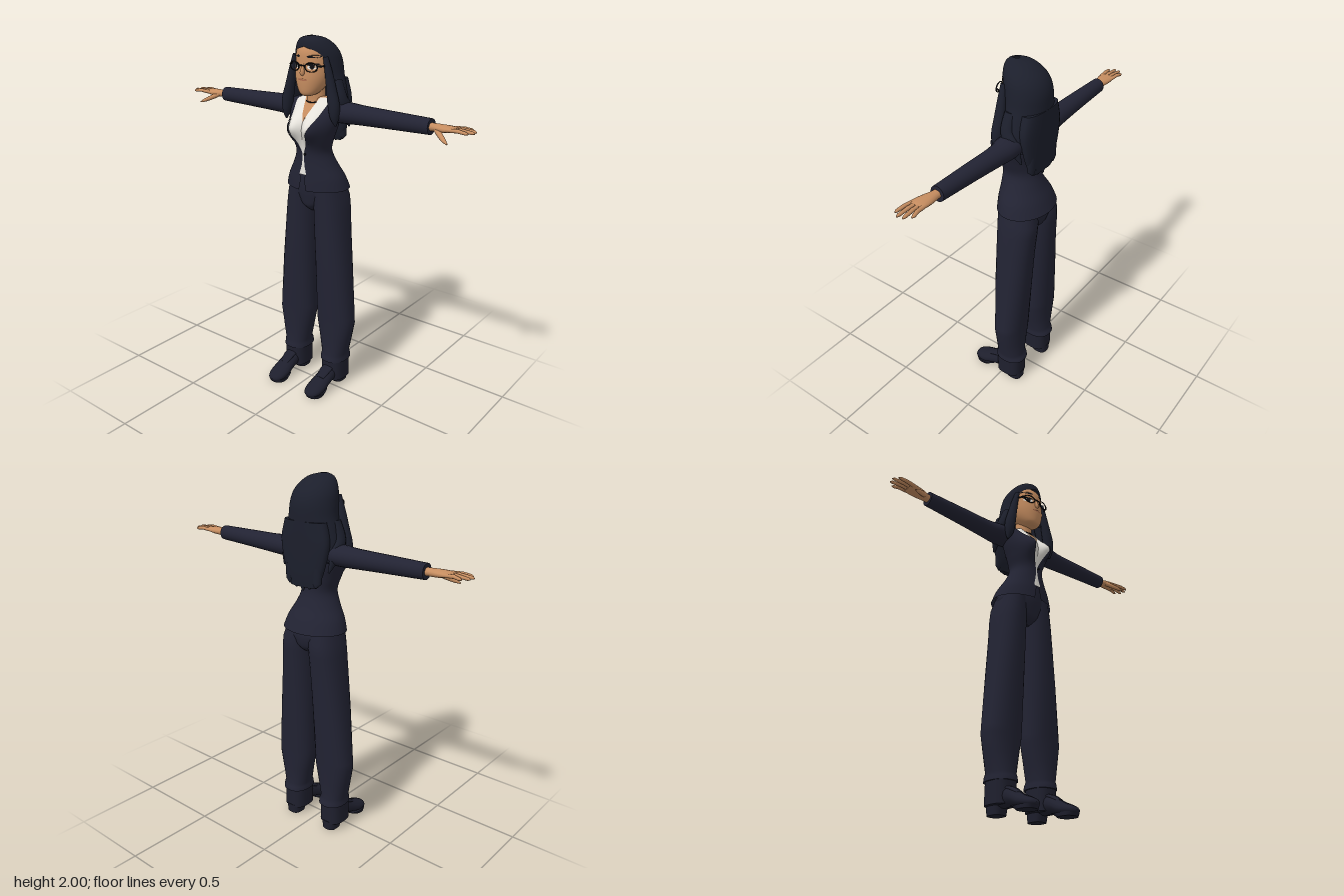
import * as THREE from 'three';

const mat = (name, color, side = THREE.FrontSide) => {
  const m = new THREE.MeshStandardMaterial({ color, side });
  m.name = name;
  return m;
};
const V = (x, y, z) => new THREE.Vector3(x, y, z);

// Linear lookup of a row by its first column
function at(rows, y) {
  if (y <= rows[0][0]) return rows[0];
  for (let i = 1; i < rows.length; i++) {
    if (y <= rows[i][0]) {
      const a = rows[i - 1], b = rows[i], t = (y - a[0]) / (b[0] - a[0]);
      return a.map((v, k) => v + (b[k] - v) * t);
    }
  }
  return rows[rows.length - 1];
}

// Smooth a table of rows with a Catmull-Rom blend
function dense(rows, n = 4) {
  const out = [];
  for (let i = 0; i < rows.length - 1; i++) {
    const p = [i - 1, i, i + 1, i + 2].map(k => rows[Math.min(Math.max(k, 0), rows.length - 1)]);
    for (let s = 0; s < n; s++) {
      const t = s / n;
      out.push(rows[i].map((_, k) => {
        const [a, b, c, d] = p.map(r => r[k]);
        return b + 0.5 * t * (c - a + t * (2 * a - 5 * b + 4 * c - d + t * (3 * (b - c) + d - a)));
      }));
    }
  }
  out.push(rows[rows.length - 1]);
  return out;
}

// Skin a list of rings; closed rings may be capped
function skin(rings, closed = true, caps = true) {
  const pos = [], idx = [], n = rings[0].length;
  rings.forEach(r => r.forEach(p => pos.push(p.x, p.y, p.z)));
  for (let j = 0; j < rings.length - 1; j++) {
    for (let i = 0; i < (closed ? n : n - 1); i++) {
      const a = j * n + i, b = j * n + (i + 1) % n;
      idx.push(a, b, b + n, a, b + n, a + n);
    }
  }
  if (closed && caps) [rings[0], rings[rings.length - 1]].forEach((r, end) => {
    const c = r.reduce((s, p) => s.add(p), V(0, 0, 0)).divideScalar(n), o = pos.length / 3;
    [...r, c].forEach(p => pos.push(p.x, p.y, p.z));
    for (let i = 0; i < n; i++) {
      const a = o + i, b = o + (i + 1) % n;
      idx.push(o + n, end ? a : b, end ? b : a);
    }
  });
  const g = new THREE.BufferGeometry();
  g.setAttribute('position', new THREE.Float32BufferAttribute(pos, 3));
  g.setIndex(idx);
  g.computeVertexNormals();
  return g;
}

function mirror(geo) {
  const g = geo.clone().scale(-1, 1, 1), ix = g.index.array;
  for (let i = 0; i < ix.length; i += 3) [ix[i], ix[i + 1]] = [ix[i + 1], ix[i]];
  g.computeVertexNormals();
  return g;
}

// Point on an upright body; row = [y, halfWidth, zFront, zBack, xCentre]
const pw = (v, e) => Math.sign(v) * Math.abs(v) ** e;
function bodyPoint([y, hx, zf, zb, cx = 0], th, e = 1, off = 0) {
  return V(cx + (hx + off) * pw(Math.sin(th), e), y, (zf + zb) / 2 + ((zf - zb) / 2 + off) * pw(Math.cos(th), e));
}
const loft = (rows, e = 1, n = 28) =>
  skin(rows.map(r => Array.from({ length: n }, (_, i) => bodyPoint(r, i / n * Math.PI * 2, e))));

// Tapered limb; row = [x, y, z, width radius, height radius]
function limb(rows, ref = V(0, 1, 0), n = 14) {
  const pts = rows.map(r => V(r[0], r[1], r[2]));
  return skin(rows.map((r, i) => {
    const D = pts[Math.min(i + 1, pts.length - 1)].clone().sub(pts[Math.max(i - 1, 0)]).normalize();
    const W = D.clone().cross(ref).normalize(), U = D.clone().cross(W);
    return Array.from({ length: n }, (_, k) => {
      const t = k / n * Math.PI * 2;
      return pts[i].clone().addScaledVector(W, Math.cos(t) * r[3]).addScaledVector(U, Math.sin(t) * r[4]);
    });
  }));
}

// Torso surface with bust
const TORSO = dense([[1.195, .178, .075, -.198], [1.26, .155, .072, -.172], [1.33, .114, .066, -.137], [1.4, .087, .064, -.112],
  [1.47, .106, .07, -.112], [1.54, .13, .068, -.122], [1.6, .142, .048, -.122], [1.645, .14, .02, -.118], [1.672, .105, 0, -.108], [1.69, .055, -.005, -.09]]);
function torsoPoint(y, th, off) {
  const p = bodyPoint(at(TORSO, y), th, 1, off), c = Math.max(0, Math.cos(th));
  p.z += .065 * c * Math.exp(-(((Math.abs(p.x) - .06) / .05) ** 2) - ((y - 1.53) / .065) ** 2);
  return p;
}
// Wrap a surface from one angle to another between two heights
function wrap(y0, y1, point, from, to, n = 40, m = 44) {
  return skin(Array.from({ length: m + 1 }, (_, j) => {
    const y = y0 + (y1 - y0) * j / m, a = from(y), b = to(y);
    return Array.from({ length: n + 1 }, (_, i) => point(y, a + (b - a) * i / n));
  }), false);
}
const gap = (table, body) => y => Math.asin(Math.min(at(table, y)[1] / at(body, y)[1], .93));
const round = f => y => Math.PI * 2 - f(y);

const HEAD = dense([[1.698, .02, .055, .01], [1.712, .05, .07, -.03], [1.75, .078, .076, -.08], [1.8, .097, .077, -.12],
  [1.86, .104, .07, -.145], [1.92, .1, .064, -.14], [1.955, .078, .04, -.1], [1.975, .03, 0, -.06]]);
function faceZ(x, y) {
  const [, hx, zf, zb] = at(HEAD, y);
  return (zf + zb) / 2 + (zf - zb) / 2 * Math.sqrt(Math.max(0, 1 - (x / hx) ** 2));
}
// Thin oval laid on the face
function decal(cx, cy, rx, ry, rot, off) {
  const g = new THREE.ShapeGeometry(new THREE.Shape().absellipse(cx, cy, rx, ry, 0, Math.PI * 2, false, rot), 10);
  const p = g.attributes.position;
  for (let i = 0; i < p.count; i++) p.setZ(i, faceZ(p.getX(i), p.getY(i)) + off);
  g.computeVertexNormals();
  return g;
}

export function createModel() {
  const D = THREE.DoubleSide;
  const suit = mat('navy suit', 0x222333, D), hairM = mat('dark hair', 0x1c1f2c, D), shoeM = mat('dark shoe', 0x1e1f2d);
  const skinM = mat('skin', 0xc68d60), white = mat('white shirt', 0xe6e3dc, D), black = mat('black', 0x0e0e12, D);
  const lipM = mat('lips', 0xa5674a, D);
  const model = new THREE.Group();
  const add = (name, geo, m) => {
    const mesh = new THREE.Mesh(geo, m);
    mesh.name = name;
    model.add(mesh);
    return mesh;
  };
  const pair = (name, geo, m) => {
    add(name + 'Left', geo, m);
    add(name + 'Right', mirror(geo), m);
  };

  // Jacket, lapels, shirt and chest, layered on one torso surface
  const V_NECK = [[1.195, .022], [1.27, .008], [1.282, .022], [1.33, .009], [1.37, .004], [1.4, .005], [1.5, .045], [1.6, .08], [1.67, .1]];
  const open = gap(V_NECK, TORSO);
  const collar = gap([[1.565, 0], [1.6, .014], [1.64, .028], [1.69, .045]], TORSO);
  add('jacket', wrap(1.195, 1.685, (y, t) => torsoPoint(y, t, .008), open, round(open), 60, 60), suit);
  pair('lapel', wrap(1.41, 1.66, (y, t) => torsoPoint(y, t, .013), open, y => open(y) + .32 * Math.sin((y - 1.4) / .27 * Math.PI * .8), 6, 20), suit);
  add('shirt', wrap(1.28, 1.685, (y, t) => torsoPoint(y, t, .003), collar, round(collar)), white);
  add('chest', wrap(1.53, 1.69, (y, t) => torsoPoint(y, t, -.002), () => 0, () => Math.PI * 2), skinM);
  const button = add('button', new THREE.SphereGeometry(.007, 10, 8), black);
  button.position.set(.012, 1.395, .075);

  // Trousers
  add('hips', loft(dense([[1.06, .02, 0, -.1], [1.09, .07, .035, -.15], [1.13, .13, .046, -.172], [1.2, .165, .056, -.175], [1.3, .105, .055, -.125]])), suit);
  pair('trouserLeg', loft([[.163, .078, .036, -.147, .136], [.187, .076, .034, -.143, .136], [.205, .074, .025, -.13, .137],
    [.3, .094, .024, -.133, .137], [.4, .115, .024, -.136, .136], [.44, .114, .027, -.139, .134], [.75, .102, .04, -.156, .116],
    [.95, .095, .044, -.166, .102], [1.07, .091, .046, -.176, .094], [1.14, .086, .048, -.18, .088], [1.25, .07, .05, -.15, .075]], .88), suit);

  // Shoes with ankle shaft, heel and sole
  pair('ankleShaft', loft([[.045, .07, .025, -.13, .137], [.17, .068, .025, -.128, .137]], .7), shoeM);
  pair('shoe', limb(dense([[.137, .07, -.115, .035, .035], [.137, .08, -.06, .048, .05], [.137, .082, .01, .047, .05], [.137, .064, .07, .05, .038],
    [.136, .043, .12, .055, .035], [.135, .032, .165, .05, .028], [.135, .026, .195, .034, .019], [.135, .024, .207, .01, .006]])), shoeM);
  pair('heel', loft([[0, .042, -.035, -.128, .137], [.055, .047, -.025, -.132, .137]], .7), shoeM);
  pair('sole', loft([[0, .05, .195, .09, .136], [.02, .054, .205, .06, .136]], .9), shoeM);
  pair('shoeTongue', limb([[.137, .125, .01, .034, .012], [.137, .112, .05, .034, .012], [.137, .085, .095, .025, .01]]), shoeM);

  // Sleeves
  pair('sleeve', limb(dense([[.07, 1.61, -.055, .05, .05], [.13, 1.614, -.06, .068, .056], [.2, 1.614, -.066, .066, .055], [.28, 1.613, -.068, .054, .051],
    [.45, 1.614, -.063, .047, .046], [.68, 1.615, -.058, .039, .04]]), undefined, 20), suit);

  // Hands
  pair('palm', limb(dense([[.65, 1.615, -.056, .024, .021], [.69, 1.615, -.056, .025, .02], [.735, 1.616, -.052, .036, .02], [.775, 1.618, -.05, .042, .017],
    [.805, 1.62, -.05, .041, .012], [.815, 1.62, -.05, .034, .006]])), skinM);
  [[.883, -.095, -.08], [.91, -.068, -.06], [.915, -.038, -.04], [.895, -.01, -.019]].forEach(([x, z, z0], i) =>
    pair('finger' + (i + 1), limb([[.78, 1.619, z0, .011, .01], [.84, 1.624, (z + z0) / 2, .0105, .0095],
      [x - .012, 1.62, z, .0085, .008], [x, 1.618, z, .003, .003]], undefined, 10), skinM));
  pair('thumb', limb(dense([[.72, 1.61, -.035, .014, .012], [.75, 1.595, -.012, .014, .013], [.785, 1.577, .012, .011, .01], [.812, 1.565, .026, .003, .003]])), skinM);

  // Neck, necklace and head
  add('neck', loft([[1.64, .06, .012, -.1], [1.68, .048, .005, -.09], [1.77, .045, .015, -.09]]), skinM);
  const necklace = add('necklace', new THREE.TorusGeometry(.051, .003, 6, 32).rotateX(Math.PI / 2 + .25), black);
  necklace.position.set(0, 1.672, -.036);
  add('head', loft(HEAD, 1, 36), skinM);
  add('nose', limb([[0, 1.865, .068, .006, .006], [0, 1.835, .076, .01, .01], [0, 1.818, .08, .014, .012], [0, 1.808, .074, .008, .006]], V(0, 0, 1)), skinM);
  add('mouth', decal(0, 1.785, .03, .0055, 0, .002), lipM);
  pair('eyeWhite', decal(.051, 1.85, .025, .012, .06, .002), white);
  pair('iris', decal(.05, 1.851, .011, .0115, 0, .003), black);
  pair('eyelid', decal(.052, 1.863, .03, .006, .06, .004), black);
  pair('brow', decal(.054, 1.902, .033, .0075, .05, .003), black);

  // Glasses
  pair('glassesRim', new THREE.TorusGeometry(.035, .0035, 6, 28).scale(1, .66, 1).rotateY(.22).translate(.053, 1.85, .073), black);
  add('glassesBridge', new THREE.CylinderGeometry(.0035, .0035, .04, 6).rotateZ(Math.PI / 2).translate(0, 1.857, .081), black);
  pair('glassesArm', limb([[.088, 1.857, .066, .0035, .005], [.108, 1.857, .02, .0035, .005], [.112, 1.855, -.07, .0035, .005]], undefined, 6), black);

  // Hair: cap open around the face, back fall and loose locks
  const HAIR = dense([[1.58, .162, .0, -.172], [1.66, .168, .02, -.175], [1.74, .153, .033, -.178], [1.8, .138, .04, -.18], [1.86, .13, .05, -.178],
    [1.91, .12, .058, -.162], [1.95, .1, .063, -.13], [1.985, .066, .055, -.075], [2, .012, .03, -.01]]);
  const face = gap([[1.58, .15], [1.66, .14], [1.74, .108], [1.8, .102], [1.86, .1], [1.905, .088], [1.93, .06], [1.948, 0], [2, 0]], HAIR);
  add('hairCap', wrap(1.58, 2, (y, t) => bodyPoint(at(HAIR, y), t), face, round(face), 48, 50), hairM);
  add('hairBack', loft(dense([[1.44, .085, -.135, -.165], [1.5, .115, -.115, -.172], [1.58, .14, -.105, -.176], [1.68, .155, -.09, -.179], [1.78, .13, -.08, -.18]]), .8), hairM);
  for (let i = -2; i <= 2; i++) {
    const x = i * .045;
    add('hairTip', limb([[x, 1.55, -.145, .03, .024], [x, 1.47, -.15, .028, .018], [x * .97, 1.42 + Math.abs(i) * .013, -.157, .006, .005]], V(0, 0, 1)), hairM);
  }
  pair('frontLock', limb(dense([[.098, 1.9, .012, .012, .015], [.118, 1.82, .01, .02, .022], [.135, 1.74, .01, .026, .028], [.152, 1.66, .012, .032, .03],
    [.158, 1.6, .012, .024, .024], [.165, 1.555, .01, .005, .005]]), V(0, 0, 1)), hairM);
  pair('sideLock', limb(dense([[.13, 1.78, -.05, .02, .03], [.158, 1.69, -.05, .026, .035], [.165, 1.62, -.09, .024, .035], [.15, 1.53, -.13, .005, .005]]), V(0, 0, 1)), hairM);

  return model;
}
